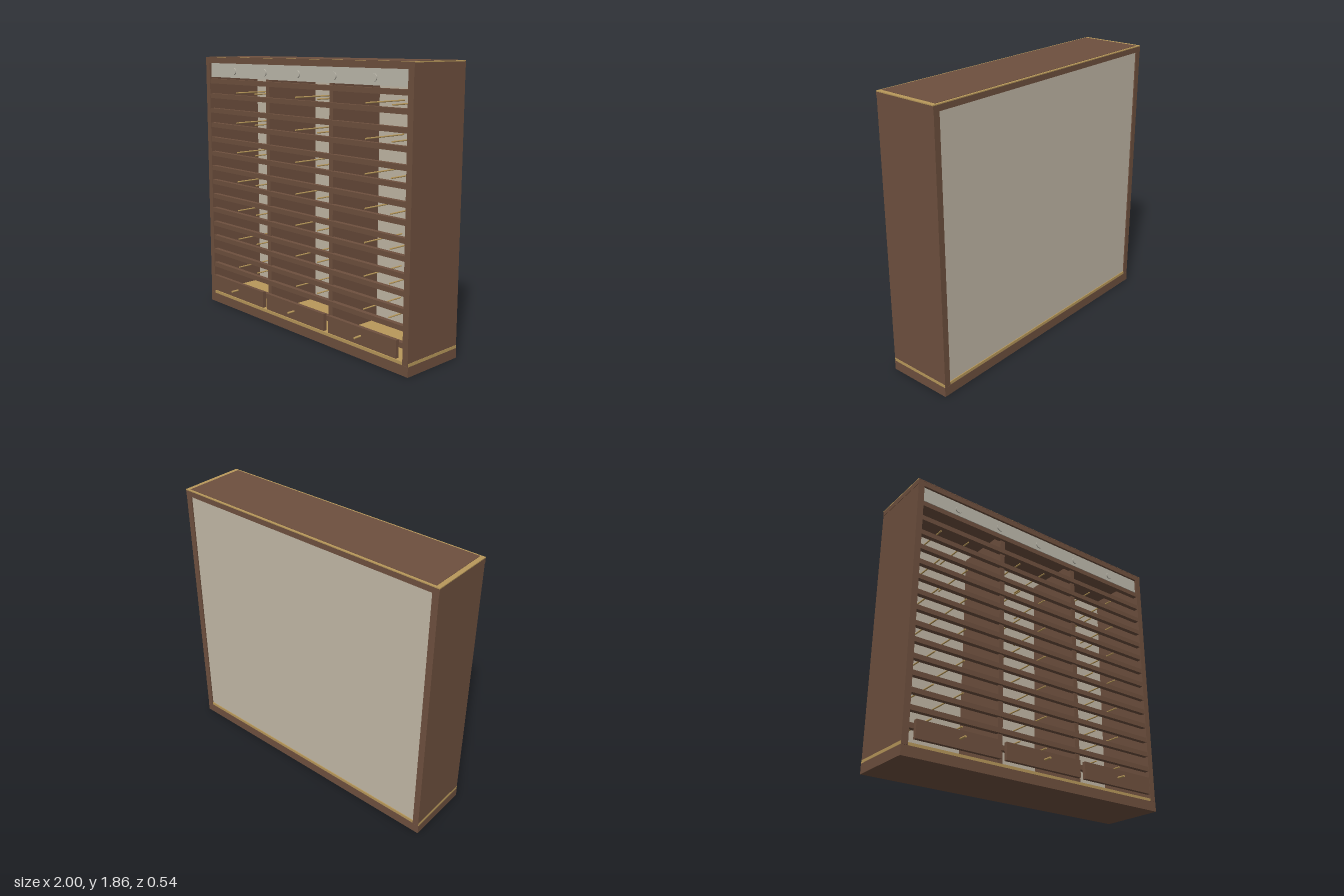
import * as THREE from 'three';

const mat = (name, hex) => {
  const m = new THREE.MeshStandardMaterial({ color: hex });
  m.name = name;
  return m;
};

export function createModel() {
  const root = new THREE.Group();
  root.name = 'displayCabinet';
  const wood = mat('brown wood', 0x6e503e);
  const brass = mat('brass', 0xb8985a);
  const cream = mat('cream panel', 0xc2b8a6);
  const pale = mat('pale header', 0xbdb9ac);

  // Box given by its min and max on each axis
  const box = (name, m, [x0, x1], [y0, y1], [z0, z1]) => {
    const mesh = new THREE.Mesh(new THREE.BoxGeometry(x1 - x0, y1 - y0, z1 - z0), m);
    mesh.position.set((x0 + x1) / 2, (y0 + y1) / 2, (z0 + z1) / 2);
    mesh.name = name;
    root.add(mesh);
    return mesh;
  };
  // Cylinder lying along z
  const rod = (name, m, x, y, [z0, z1], r, sides = 10) => {
    const geo = new THREE.CylinderGeometry(r, r, z1 - z0, sides).rotateX(Math.PI / 2);
    const mesh = new THREE.Mesh(geo, m);
    mesh.position.set(x, y, (z0 + z1) / 2);
    mesh.name = name;
    root.add(mesh);
  };

  const back = -0.27, front = 0.19, inner = 0.955;

  // Carcass
  box('base', wood, [-1, 1], [0, 0.065], [back, front]);
  box('brassFloor', brass, [-1.0, 1.0], [0.065, 0.085], [back + 0.002, front - 0.003]);
  for (const s of [-1, 1]) {
    const xs = s > 0 ? [inner, 0.998] : [-0.998, -inner];
    box('sidePanel', wood, xs, [0.066, 1.811], [back, front]);
  }
  box('topPanel', wood, [-1, 1], [1.81, 1.847], [back, front]);
  box('backPanel', cream, [-inner, inner], [0.085, 1.81], [-0.262, -0.25]);

  // Brass border around the top board
  box('topBrassBorder', brass, [-1, 1], [1.847, 1.853], [back, front]);
  box('topInset', wood, [-0.97, 0.97], [1.853, 1.855], [-0.255, 0.177]);
  box('topFrontEdge', wood, [-1, 1], [1.846, 1.852], [front, front + 0.001]);

  // Header board with round lamps
  box('headerBoard', pale, [-inner, inner], [1.71, 1.81], [0.15, 0.175]);
  for (let i = -2; i <= 2; i++) rod('headerLamp', pale, i * 0.34, 1.755, [0.17, 0.182], 0.025, 20);

  // Dividers
  for (const s of [-1, 1]) {
    const x = s * 0.3125;
    box('divider', wood, [x - 0.0175, x + 0.0175], [0.085, 1.71], [-0.25, 0.17]);
  }

  // Horizontal front rails
  for (let i = 0; i < 15; i++) {
    const y = 1.68 - i * 0.1067;
    box('rail', wood, [-inner, inner], [y - 0.0165, y + 0.0165], [0.155, 0.187]);
  }

  // Bays: hanging pegs, drawer front and knob
  for (const cx of [-0.63, 0, 0.63]) {
    for (let row = 0; row < 7; row++)
      for (const dx of [-0.108, 0.108])
        rod('peg', brass, cx * 1.035 + dx, 1.597 - row * 0.2175, [-0.25, 0.1], 0.005, 8);
    box('drawerFront', wood, [cx - 0.295, cx + 0.295], [0.105, 0.22], [0.19, 0.215]);
    rod('drawerKnob', brass, cx, 0.165, [0.215, 0.27], 0.007, 12);
  }
  return root;
}
